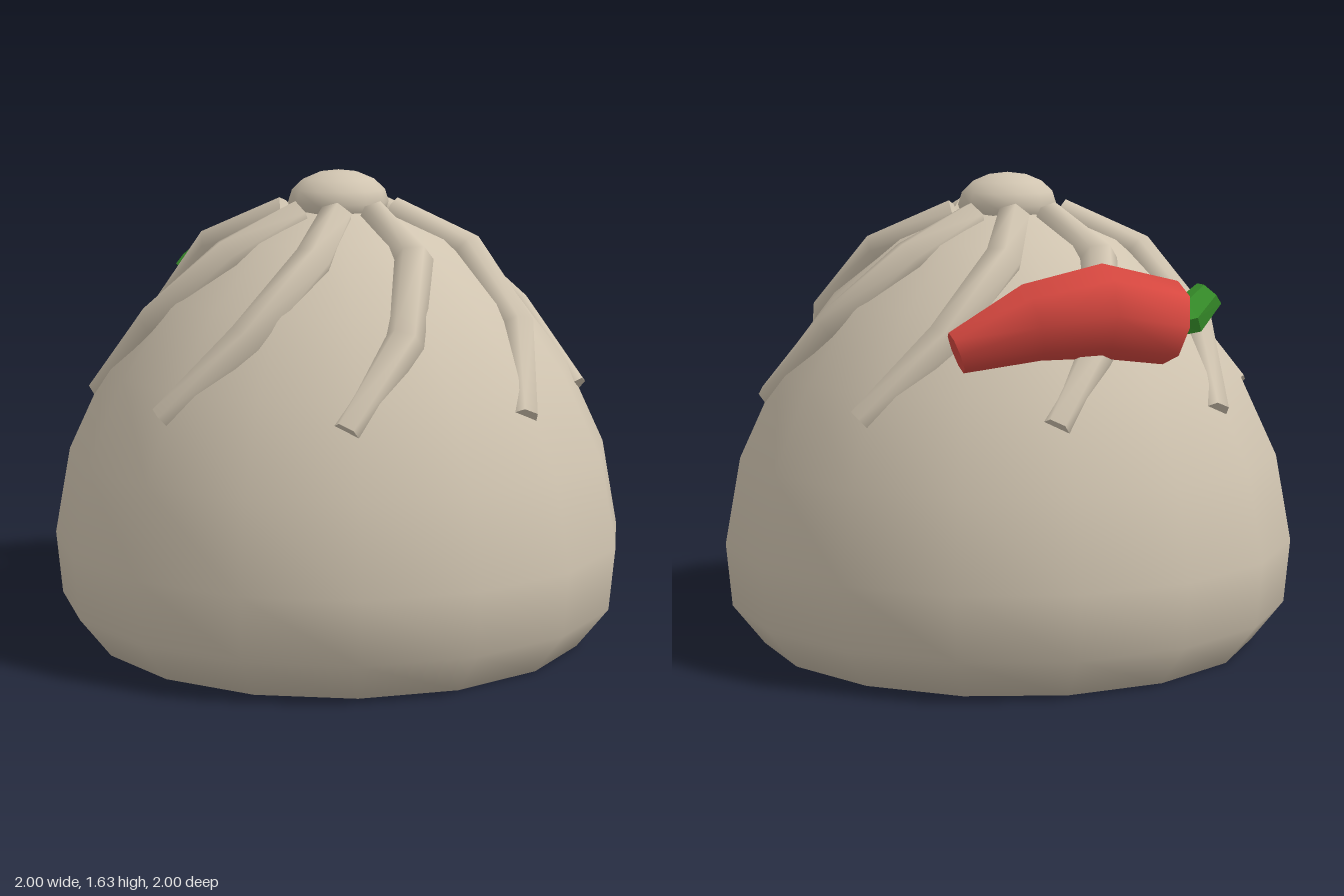
import * as THREE from 'three';

const V = (x, y, z) => new THREE.Vector3(x, y, z);

// Closed tube through stations [x, y, z, radius] with mitred rings and flat end caps
function sweep(stations, sides, up) {
  const centres = stations.map(([x, y, z]) => V(x, y, z));
  const last = centres.length - 1;
  const positions = [];
  const index = [];
  const rings = centres.map((c, i) => {
    const next = centres[Math.min(i + 1, last)];
    const prev = centres[Math.max(i - 1, 0)];
    const tangent = next.clone().sub(prev).normalize();
    const side = tangent.clone().cross(up).normalize();
    const lift = side.clone().cross(tangent);
    return Array.from({ length: sides }, (_, j) => {
      const a = (j / sides) * Math.PI * 2;
      return c.clone()
        .addScaledVector(side, Math.cos(a) * stations[i][3])
        .addScaledVector(lift, Math.sin(a) * stations[i][3]);
    });
  });
  const push = (p) => positions.push(p.x, p.y, p.z);

  // Walls
  rings.forEach((ring) => ring.forEach(push));
  for (let i = 0; i < last; i++) {
    for (let j = 0; j < sides; j++) {
      const a = i * sides + j;
      const b = i * sides + (j + 1) % sides;
      index.push(a, a + sides, b, b, a + sides, b + sides);
    }
  }
  // Caps have their own vertices so their edges stay sharp
  for (const i of [0, last]) {
    const base = positions.length / 3;
    push(centres[i]);
    rings[i].forEach(push);
    for (let j = 0; j < sides; j++) {
      const a = base + 1 + j;
      const b = base + 1 + (j + 1) % sides;
      if (i === 0) index.push(base, a, b);
      else index.push(base, b, a);
    }
  }
  const geometry = new THREE.BufferGeometry();
  geometry.setAttribute('position', new THREE.Float32BufferAttribute(positions, 3));
  geometry.setIndex(index);
  geometry.computeVertexNormals();
  return geometry;
}

export function createModel() {
  const model = new THREE.Group();
  model.name = 'dumpling';

  const material = (name, color) => {
    const m = new THREE.MeshStandardMaterial({ color });
    m.name = name;
    return m;
  };
  const dough = material('dough', 0xd0c4b0);
  const red = material('chili red', 0xd84840);
  const green = material('stem green', 0x3c9a2e);

  const add = (name, geometry, mat, parent = model) => {
    const mesh = new THREE.Mesh(geometry, mat);
    mesh.name = name;
    parent.add(mesh);
    return mesh;
  };

  // Rounded body with a flat base
  const profile = [
    [0, 0], [0.87, 0], [0.98, 0.14], [1, 0.36], [0.945, 0.66],
    [0.81, 0.95], [0.62, 1.2], [0.38, 1.4], [0.14, 1.5], [0, 1.52],
  ].map(([r, y]) => new THREE.Vector2(r, y));
  add('body', new THREE.LatheGeometry(profile, 16), dough);

  // Pinched knob on top
  const knob = add('topKnob', new THREE.SphereGeometry(0.175, 12, 8), dough);
  knob.scale.y = 0.63;
  knob.position.y = 1.52;

  // Eight twisted pleats around the knob
  const pleat = sweep([
    [0.11, 1.48, 0.14, 0.06],
    [0.22, 1.355, 0.385, 0.07],
    [0.165, 1.12, 0.645, 0.068],
    [-0.035, 0.86, 0.83, 0.052],
  ], 6, V(0, 0.7, 0.7));
  const pleats = new THREE.Group();
  pleats.name = 'pleats';
  model.add(pleats);
  for (let i = 0; i < 8; i++) {
    add('pleat', pleat, dough, pleats).rotation.y = (i * Math.PI) / 4;
  }

  // Chili pepper lying across the back
  const chili = new THREE.Group();
  chili.name = 'chili';
  model.add(chili);
  add('chiliPod', sweep([
    [-0.39, 1.17, -0.665, 0.138],
    [-0.14, 1.22, -0.71, 0.153],
    [0.09, 1.19, -0.725, 0.127],
    [0.335, 1.1, -0.725, 0.07],
  ], 8, V(0, 1, 0)), red, chili);

  // Faceted stem, bending upward
  const stem = sweep([
    [-0.37, 1.17, -0.66, 0.055],
    [-0.46, 1.19, -0.65, 0.066],
    [-0.53, 1.26, -0.64, 0.052],
  ], 6, V(0, 1, 0)).toNonIndexed();
  stem.computeVertexNormals();
  add('chiliStem', stem, green, chili);

  return model;
}
